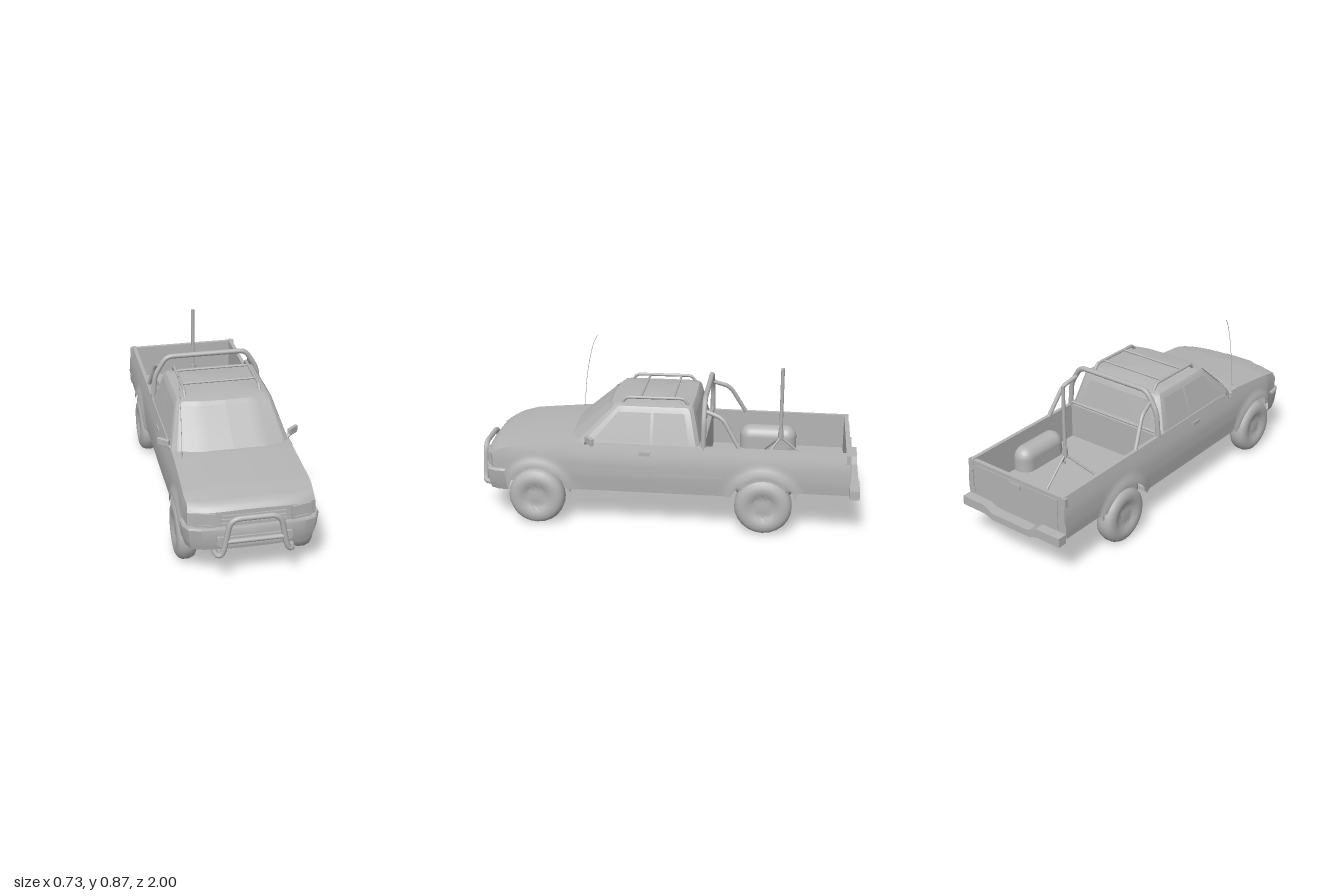
import * as THREE from 'three';
import { toCreasedNormals } from 'three/addons/utils/BufferGeometryUtils.js';
import { RoundedBoxGeometry } from 'three/addons/geometries/RoundedBoxGeometry.js';

const grey = new THREE.MeshStandardMaterial({ color: 0xb4b4b4, side: THREE.DoubleSide });
grey.name = 'plain grey';

const FRONT = 0.674, REAR = -0.511, AXLE_Y = 0.148, ARCH = 0.173;
const lerp = THREE.MathUtils.lerp;
const smooth = THREE.MathUtils.smoothstep;

// Piecewise linear lookup in a list of [position, value]
function keyed(keys, p) {
  for (let i = 1; i < keys.length; i++) {
    const [a, va] = keys[i - 1], [b, vb] = keys[i];
    if (p <= b) return lerp(va, vb, Math.max(0, (p - a) / (b - a)));
  }
  return keys[keys.length - 1][1];
}

// Surface from a rule fn(u, v) -> [x, y, z], with u and v in 0..1
function grid(nu, nv, fn, crease = 0.6) {
  const pos = [], index = [];
  for (let i = 0; i <= nu; i++) for (let j = 0; j <= nv; j++) pos.push(...fn(i / nu, j / nv));
  for (let i = 0; i < nu; i++) for (let j = 0; j < nv; j++) {
    const a = i * (nv + 1) + j, b = a + nv + 1;
    index.push(a, b, a + 1, b, b + 1, a + 1);
  }
  const g = new THREE.BufferGeometry();
  g.setAttribute('position', new THREE.Float32BufferAttribute(pos, 3));
  g.setIndex(index);
  return toCreasedNormals(g, crease);
}

// Body rules: side width, belt line, lower edge and rounded nose
function halfWidth(y, z) {
  const base = keyed([[0.18, 0.312], [0.29, 0.323], [0.36, 0.322], [0.4, 0.316], [0.46, 0.302]], y);
  const c = z > 0.1 ? FRONT : REAR;
  const r = Math.hypot(z - c, y - AXLE_Y);
  return base + 0.014 * (1 - smooth(r, 0.18, 0.225)) - 0.012 * smooth(z, 0.8, 0.95);
}
const beltY = z => keyed([[-0.95, 0.455], [0.3, 0.46], [0.52, 0.453], [0.8, 0.424], [0.9, 0.405], [0.93, 0.39], [0.946, 0.37]], z);
function lowerY(z) {
  const d = Math.min(Math.abs(z - FRONT), Math.abs(z - REAR));
  const arch = d < ARCH ? AXLE_Y + Math.sqrt(ARCH * ARCH - d * d) : 0;
  return Math.max(z < REAR ? 0.235 : 0.2, arch);
}
const nose = (x, y, z) => [x, y, z - 0.05 * Math.pow(Math.abs(x) / 0.32, 4) * smooth(z, 0.75, 0.95)];

// Cab rule: outline from windscreen centre round to rear centre, base to roof edge
const CAB_LOW = 0.44, CAB_HIGH = 0.628;
const cabBase = [[0, 0.535], [0.16, 0.525], [0.275, 0.475], [0.303, 0.44], [0.303, 0.07], [0.303, -0.165], [0.28, -0.185], [0, -0.19]];
const cabTop = [[0, 0.308], [0.15, 0.302], [0.232, 0.28], [0.246, 0.255], [0.247, 0.07], [0.247, -0.125], [0.225, -0.143], [0, -0.148]];
function cabPoint(u, t, off = [0, 0, 0]) {
  const i = Math.min(6, Math.floor(u)), f = u - i;
  const at = (o, k) => lerp(o[i][k], o[i + 1][k], f);
  return [lerp(at(cabBase, 0), at(cabTop, 0), t) + off[0], lerp(CAB_LOW, CAB_HIGH, t) + off[1], lerp(at(cabBase, 1), at(cabTop, 1), t) + off[2]];
}

export function createModel() {
  const model = new THREE.Group();
  model.name = 'pickupTruck';
  const left = new THREE.Group(), right = new THREE.Group();
  left.name = 'leftHalf';
  right.name = 'rightHalf';
  right.scale.x = -1;
  model.add(left, right);

  const add = (name, g, p = [0, 0, 0], parent = model) => {
    const m = new THREE.Mesh(g, grey);
    m.name = name;
    m.position.set(...p);
    parent.add(m);
    return m;
  };
  const pair = (name, g, p, ry = 0) => [left, right].forEach(s => { add(name, g, p, s).rotation.y = ry; });
  const box = (w, h, d) => new THREE.BoxGeometry(w, h, d);
  const outline = pts => new THREE.Shape(pts.map(p => new THREE.Vector2(...p)));
  const extrude = (shape, depth) => new THREE.ExtrudeGeometry(shape, { depth, bevelEnabled: false });

  // Tube of straight runs with rounded bends
  const tube = (pts, r, bend = 0.035) => {
    const path = new THREE.CurvePath(), v = pts.map(p => new THREE.Vector3(...p));
    const toward = (a, b) => a.clone().lerp(b, Math.min(0.45, bend / a.distanceTo(b)));
    let from = v[0];
    for (let i = 1; i < v.length - 1; i++) {
      const a = toward(v[i], v[i - 1]), b = toward(v[i], v[i + 1]);
      path.add(new THREE.LineCurve3(from, a));
      path.add(new THREE.QuadraticBezierCurve3(a, v[i], b));
      from = b;
    }
    path.add(new THREE.LineCurve3(from, v[v.length - 1]));
    return new THREE.TubeGeometry(path, pts.length * 12, r, 10);
  };
  const rod = (a, b, r) => new THREE.TubeGeometry(new THREE.LineCurve3(new THREE.Vector3(...a), new THREE.Vector3(...b)), 1, r, 10);
  const mirrored = pts => [...pts, ...pts.slice().reverse().map(([x, y, z]) => [-x, y, z])];

  // Front body: fender and door sides, then the crowned hood
  pair('frontBody', grid(96, 16, (u, v) => {
    const z = lerp(0.946, -0.2, u), top = beltY(z);
    if (v <= 0.5) {
      const y = lerp(lowerY(z), top, v * 2);
      return nose(halfWidth(y, z), y, z);
    }
    const k = 2 - v * 2;
    return nose(halfWidth(top, z) * k, top + 0.014 * (1 - k * k), z);
  }));
  pair('noseFace', grid(10, 6, (u, v) => {
    const y = lerp(0.2, beltY(0.946) + 0.014 * (1 - u * u), v);
    return nose(halfWidth(Math.min(y, 0.37), 0.946) * u, y, 0.946);
  }));

  // Load bed: outer side, rim, inner wall and floor
  pair('bedSide', grid(64, 11, (u, v) => {
    const z = lerp(-0.19, -0.945, u), row = Math.round(v * 11), top = beltY(z);
    if (row <= 8) {
      const y = lerp(lowerY(z), top, row / 8);
      return [halfWidth(y, z), y, z];
    }
    return [[0.283, top, z], [0.283, 0.265, z], [0, 0.265, z]][row - 9];
  }));
  add('bedFrontWall', box(0.6, 0.2, 0.02), [0, 0.355, -0.195]);
  add('tailgate', box(0.57, 0.215, 0.022), [0, 0.343, -0.934]);
  add('tailgatePanel', box(0.53, 0.17, 0.006), [0, 0.345, -0.946]);
  add('tailgateHandle', box(0.07, 0.025, 0.01), [0, 0.41, -0.951]);
  pair('tailPost', box(0.032, 0.215, 0.022), [0.299, 0.343, -0.936]);
  pair('tailLamp', box(0.026, 0.1, 0.008), [0.299, 0.35, -0.947]);
  pair('wheelTub', new RoundedBoxGeometry(0.12, 0.2, 0.31, 5, 0.058), [0.255, 0.29, REAR]);

  // Underside
  add('chassis', box(0.47, 0.06, 1.27), [0, 0.231, 0.295]);
  add('rearChassis', box(0.47, 0.03, 0.6), [0, 0.25, -0.635]);
  add('bedUnderside', box(0.625, 0.03, 0.25), [0, 0.251, -0.81]);
  add('noseUnderside', box(0.56, 0.06, 0.05), [0, 0.231, 0.88]);
  add('engineBay', box(0.46, 0.17, 0.46), [0, 0.285, 0.69]);
  pair('sill', box(0.09, 0.02, 0.83), [0.268, 0.21, 0.077]);
  pair('frontMudFlap', box(0.08, 0.04, 0.008), [0.28, 0.205, 0.497]);
  pair('rearMudFlap', box(0.08, 0.045, 0.008), [0.28, 0.22, -0.675]);

  // Cab with rounded roof
  const levels = [[0, CAB_LOW, 1], [1, CAB_HIGH, 1], [1, 0.643, 0.95], [1, 0.652, 0.8], [1, 0.659, 0]];
  pair('cab', grid(28, 4, (u, v) => {
    const [t, y, s] = levels[Math.round(v * 4)];
    const [x, , z] = cabPoint(u * 7, t);
    return [x * s, y, 0.08 + (z - 0.08) * s];
  }));
  const pane = (name, u0, u1, t0, t1, off) => pair(name, grid(8, 4, (u, v) => cabPoint(lerp(u0, u1, u), lerp(t0, t1, v), off)));
  pane('windscreen', 0, 1.95, 0.17, 0.98, [0, 0.003, 0.003]);
  pane('sideWindow', 3.12, 3.98, 0.14, 0.94, [0.004, 0, 0]);
  pane('quarterPanel', 4.05, 4.85, 0.12, 0.94, [0.003, 0, 0]);
  pane('rearWindow', 6.15, 7, 0.2, 0.9, [0, 0, -0.004]);
  pane('rearWindowDivider', 6.62, 6.66, 0.2, 0.9, [0, 0, -0.008]);

  // Thin panels that follow the body side
  const sidePanel = (name, z0, z1, y0, y1, off) => pair(name, grid(16, 6, (u, v) => {
    const z = lerp(z0, z1, u), y = lerp(y0, y1, v);
    return [halfWidth(y, z) + off, y, z];
  }));
  sidePanel('doorUpper', 0.475, 0.04, 0.315, 0.45, 0.004);
  sidePanel('doorLower', 0.475, 0.04, 0.215, 0.308, 0.004);
  sidePanel('rearCabMoulding', 0.03, -0.3, 0.3, 0.312, 0.005);
  sidePanel('bedMoulding', -0.73, -0.93, 0.305, 0.317, 0.005);
  pair('doorHandle', box(0.012, 0.02, 0.06), [0.315, 0.414, 0.1]);

  // Front lamps, grille and bumper
  const lampFrame = outline([[-0.05, -0.036], [0.05, -0.036], [0.05, 0.034], [-0.05, 0.034]]);
  lampFrame.holes.push(new THREE.Path([[-0.037, -0.025], [-0.037, 0.024], [0.037, 0.024], [0.037, -0.025]].map(p => new THREE.Vector2(...p))));
  pair('headlampFrame', extrude(lampFrame, 0.02), [0.23, 0.342, 0.923], 0.24);
  pair('headlamp', box(0.076, 0.05, 0.01), [0.232, 0.342, 0.933], 0.24);
  for (const y of [0.318, 0.338, 0.358]) add('grilleSlat', box(0.31, 0.009, 0.016), [0, y, 0.945]);
  const bumperEdge = [[0.334, 0.835], [0.332, 0.885], [0.31, 0.93], [0.25, 0.952], [0.12, 0.964], [0, 0.967]];
  const bumperRows = [[0.8, 0.182], [0.945, 0.182], [0.96, 0.2], [0.98, 0.225], [1, 0.292], [0.985, 0.302], [0.8, 0.302]];
  pair('frontBumper', grid(5, 6, (u, v) => {
    const [x, z] = bumperEdge[Math.round(u * 5)], [s, y] = bumperRows[Math.round(v * 6)];
    return [x * s, y, z - (1 - s) * 0.25];
  }, 0.5));
  add('bumperInset', extrude(outline([[-0.185, 0.225], [-0.165, 0.208], [0.165, 0.208], [0.185, 0.225], [0.18, 0.258], [-0.18, 0.258]]), 0.03), [0, 0, 0.942]);

  // Bull bar
  add('bullBar', tube(mirrored([[0.19, 0.168, 0.86], [0.185, 0.165, 0.98], [0.155, 0.178, 0.986], [0.12, 0.362, 0.986]]), 0.0135, 0.05));
  add('bullBarCrossTube', rod([-0.143, 0.243, 0.986], [0.143, 0.243, 0.986], 0.012));

  // Stepped rear bumper
  add('rearBumper', extrude(outline([[-0.315, 0.212], [-0.17, 0.212], [-0.12, 0.195], [0.12, 0.195], [0.17, 0.212], [0.315, 0.212],
    [0.315, 0.26], [0.17, 0.26], [0.12, 0.232], [-0.12, 0.232], [-0.17, 0.26], [-0.315, 0.26]]), 0.05), [0, 0, -1]);
  pair('rearBumperArm', box(0.03, 0.03, 0.08), [0.2, 0.235, -0.93]);

  // Wheels: bulging tyre with a shallow dished disc on both sides, plus axles
  const tyre = [[0, -0.03], [0.05, -0.03], [0.06, -0.036], [0.08, -0.047], [0.1, -0.05], [0.122, -0.047], [0.139, -0.036], [0.148, -0.016],
    [0.148, 0.016], [0.139, 0.036], [0.122, 0.047], [0.1, 0.05], [0.08, 0.047], [0.062, 0.038], [0.052, 0.034], [0.03, 0.037], [0, 0.037]];
  const wheel = toCreasedNormals(new THREE.LatheGeometry(tyre.map(p => new THREE.Vector2(...p)), 24), 0.8);
  wheel.rotateZ(-Math.PI / 2);
  for (const [name, z] of [['front', FRONT], ['rear', REAR]]) {
    pair(name + 'Wheel', wheel, [0.29, AXLE_Y, z]);
    add(name + 'Axle', rod([-0.27, 0.142, z], [0.27, 0.142, z], 0.012));
  }

  // Roll bar with rear braces
  add('rollBar', tube(mirrored([[0.293, 0.44, -0.2], [0.282, 0.585, -0.2], [0.218, 0.691, -0.2]]), 0.0135));
  pair('rollBarBrace', tube([[0.245, 0.635, -0.205], [0.262, 0.605, -0.295], [0.288, 0.455, -0.382]], 0.011));
  add('rollBarLowerTube', rod([-0.29, 0.47, -0.2], [0.29, 0.47, -0.2], 0.008));

  // Roof rack
  pair('rackRail', tube([[0.195, 0.64, 0.235], [0.195, 0.678, 0.21], [0.195, 0.68, -0.09], [0.195, 0.64, -0.115]], 0.008, 0.02));
  for (const z of [0.135, -0.035]) add('rackCrossTube', rod([-0.195, 0.677, z], [0.195, 0.677, z], 0.006));

  // Door mirrors, swept back
  pair('mirrorArm', rod([0.295, 0.452, 0.41], [0.322, 0.478, 0.395], 0.009));
  pair('mirror', new RoundedBoxGeometry(0.068, 0.04, 0.018, 2, 0.005), [0.333, 0.481, 0.383], 0.7);

  // Whip antenna
  const whip = [[-0.262, 0.445, 0.515], [-0.262, 0.6, 0.505], [-0.262, 0.75, 0.48], [-0.262, 0.83, 0.458], [-0.262, 0.87, 0.438]];
  add('antenna', new THREE.TubeGeometry(new THREE.CatmullRomCurve3(whip.map(p => new THREE.Vector3(...p))), 20, 0.0015, 5));
  add('antennaBase', new THREE.CylinderGeometry(0.005, 0.007, 0.015, 10), [-0.262, 0.455, 0.515]);

  // Post on a three-legged stand in the bed
  add('post', new THREE.CylinderGeometry(0.0095, 0.0095, 0.4, 10), [0, 0.6, -0.585]);
  add('postCollar', new THREE.CylinderGeometry(0.014, 0.014, 0.05, 12), [0, 0.44, -0.585]);
  for (const [x, z] of [[-0.008, -0.755], [-0.14, -0.475], [0.13, -0.46]]) {
    add('standLeg', rod([0, 0.42, -0.585], [x, 0.275, z], 0.006));
    add('standFoot', new THREE.CylinderGeometry(0.014, 0.016, 0.014, 12), [x, 0.272, z]);
  }
  return model;
}
